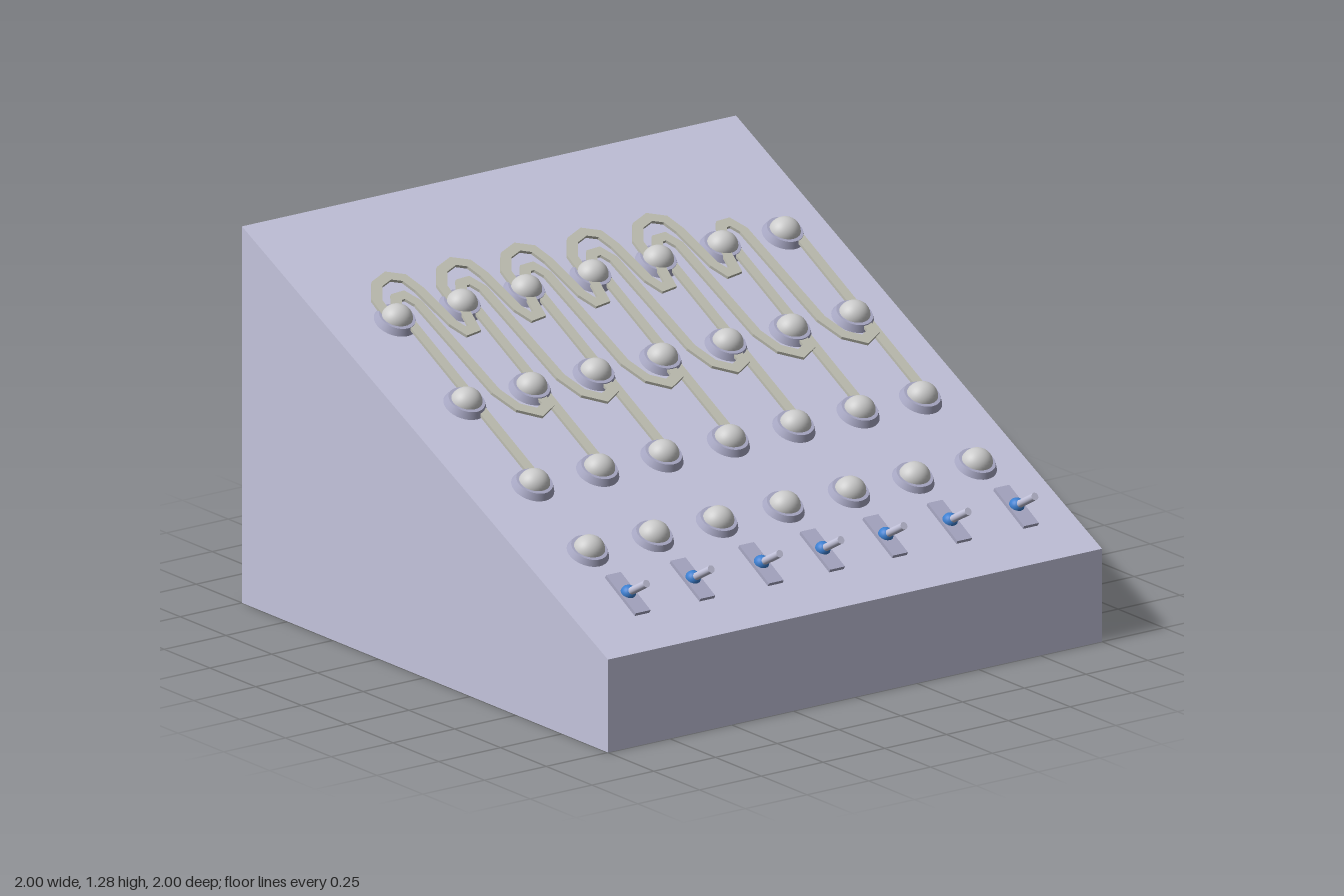
import * as THREE from 'three';

const SLOPE = Math.atan(0.484);
const COS = Math.cos(SLOPE), TAN = Math.tan(SLOPE);

const material = (color) => new THREE.MeshStandardMaterial({ color });
const bodyMat = material(0xc4c4dc);
const padMat = material(0xa8a8c4);
const domeMat = material(0xcccccc);
const trackMat = material(0xbebeb2);
const ballMat = material(0x3c7fd0);

function add(parent, name, geometry, mat, x = 0, y = 0, z = 0) {
  const mesh = new THREE.Mesh(geometry, mat);
  mesh.name = name;
  mesh.position.set(x, y, z);
  parent.add(mesh);
  return mesh;
}

// Distance along the sloped face for a point at plan depth z, height h off the face
const along = (z, h) => (z - h * Math.sin(SLOPE)) / COS;

// Flat strip of constant width following [x, z] points, with mitred corners
function ribbon(points, width, thickness) {
  const p = points.map(([x, z]) => new THREE.Vector2(x, -z));
  const left = [], right = [];
  p.forEach((pt, i) => {
    const before = pt.clone().sub(p[Math.max(i - 1, 0)]).normalize();
    const after = p[Math.min(i + 1, p.length - 1)].clone().sub(pt).normalize();
    const dir = before.clone().add(after).normalize();
    const ref = i === 0 ? after : before;
    const offset = new THREE.Vector2(-dir.y, dir.x)
      .multiplyScalar(width / 2 / Math.max(dir.dot(ref), 0.6));
    left.push(pt.clone().add(offset));
    right.unshift(pt.clone().sub(offset));
  });
  const shape = new THREE.Shape([...left, ...right]);
  return new THREE.ExtrudeGeometry(shape, { depth: thickness, bevelEnabled: false })
    .rotateX(-Math.PI / 2);
}

export function createModel() {
  const model = new THREE.Group();
  model.name = 'controlConsole';

  // Wedge body: side profile drawn as (-z, y), extruded across the width
  const profile = new THREE.Shape([
    [-1, 0], [1, 0], [1, 1.285], [-1, 0.317],
  ].map(([a, b]) => new THREE.Vector2(a, b)));
  const wedge = new THREE.ExtrudeGeometry(profile, { depth: 2, bevelEnabled: false })
    .translate(0, 0, -1).rotateY(Math.PI / 2);
  add(model, 'wedgeBody', wedge, bodyMat);

  // Sloped face frame: y is the face normal, z runs down the slope
  const panel = new THREE.Group();
  panel.name = 'slopedPanel';
  panel.position.y = 0.801;
  panel.rotation.x = SLOPE;
  model.add(panel);

  // Lamps: bevelled pad with a domed lens
  const columns = [-0.76, -0.497, -0.237, 0.032, 0.297, 0.557, 0.81];
  const rows = [[0.57, 0.009], [0.27, 0.013], [-0.1, 0.017], [-0.48, 0.02]];
  const padGeo = new THREE.CylinderGeometry(0.062, 0.073, 0.024, 32);
  const domeGeo = new THREE.SphereGeometry(1, 32, 20).scale(0.055, 0.05, 0.05);
  for (const [z, h] of rows) {
    for (const x of columns) {
      const lamp = new THREE.Group();
      lamp.name = 'lamp';
      lamp.position.set(x, h, along(z, h));
      panel.add(lamp);
      add(lamp, 'lampPad', padGeo, padMat);
      add(lamp, 'lampDome', domeGeo, domeMat, 0, 0.003, 0);
    }
  }

  // Tracks lie on a plane tilted slightly off the face, rising towards the back
  const tracks = new THREE.Group();
  tracks.name = 'tracks';
  const pivot = 0.3;
  tracks.position.set(0, 0.001, pivot);
  tracks.rotation.x = 0.025;
  panel.add(tracks);

  // Path offsets from the top lamp of a column, as plan x and z
  const outerPath = [[-0.03, 0], [-0.025, -0.08], [0.02, -0.14], [0.08, -0.162], [0.13, -0.14],
    [0.15, -0.085], [0.172, 0.07], [0.195, 0.115], [0.232, 0.11], [0.25, 0.02]];
  const innerPath = [[0.01, -0.02], [0.045, -0.07], [0.08, -0.072], [0.105, -0.03],
    [0.125, 0.37], [0.158, 0.45], [0.218, 0.488], [0.268, 0.465], [0.265, 0.4]];
  const straightPath = [[0.032, 0.02], [0.032, 0.73]];
  const addTrack = (name, path, x, lift) => {
    const points = path.map(([dx, dz]) => [x + dx, along(-0.48 + dz, 0.02) - pivot]);
    add(tracks, name, ribbon(points, 0.036, 0.01), trackMat, 0, lift, 0);
  };
  columns.forEach((x, i) => {
    addTrack('straightTrack', straightPath, x, 0);
    if (i < 6) addTrack('innerTrack', innerPath, x, 0.006);
    if (i < 5) addTrack('outerTrack', outerPath, x, 0.002);
  });

  // Toggle switches: plate, pivot ball and lever leaning forward
  const plateGeo = new THREE.BoxGeometry(0.06, 0.012, 0.185);
  const ballGeo = new THREE.SphereGeometry(0.026, 20, 14);
  const leverGeo = new THREE.CylinderGeometry(0.013, 0.013, 0.115, 16).translate(0, 0.0575, 0);
  for (const x of [-0.757, -0.495, -0.218, 0.03, 0.285, 0.545, 0.815]) {
    const toggle = new THREE.Group();
    toggle.name = 'toggleSwitch';
    toggle.position.set(x, 0.014, along(0.78, 0.014));
    panel.add(toggle);
    add(toggle, 'switchPlate', plateGeo, padMat).rotation.x = 0.05;
    add(toggle, 'switchBall', ballGeo, ballMat, 0, 0.006, 0);
    add(toggle, 'switchLever', leverGeo, bodyMat, 0, 0.006, 0).rotation.x = 0.61;
  }

  return model;
}
